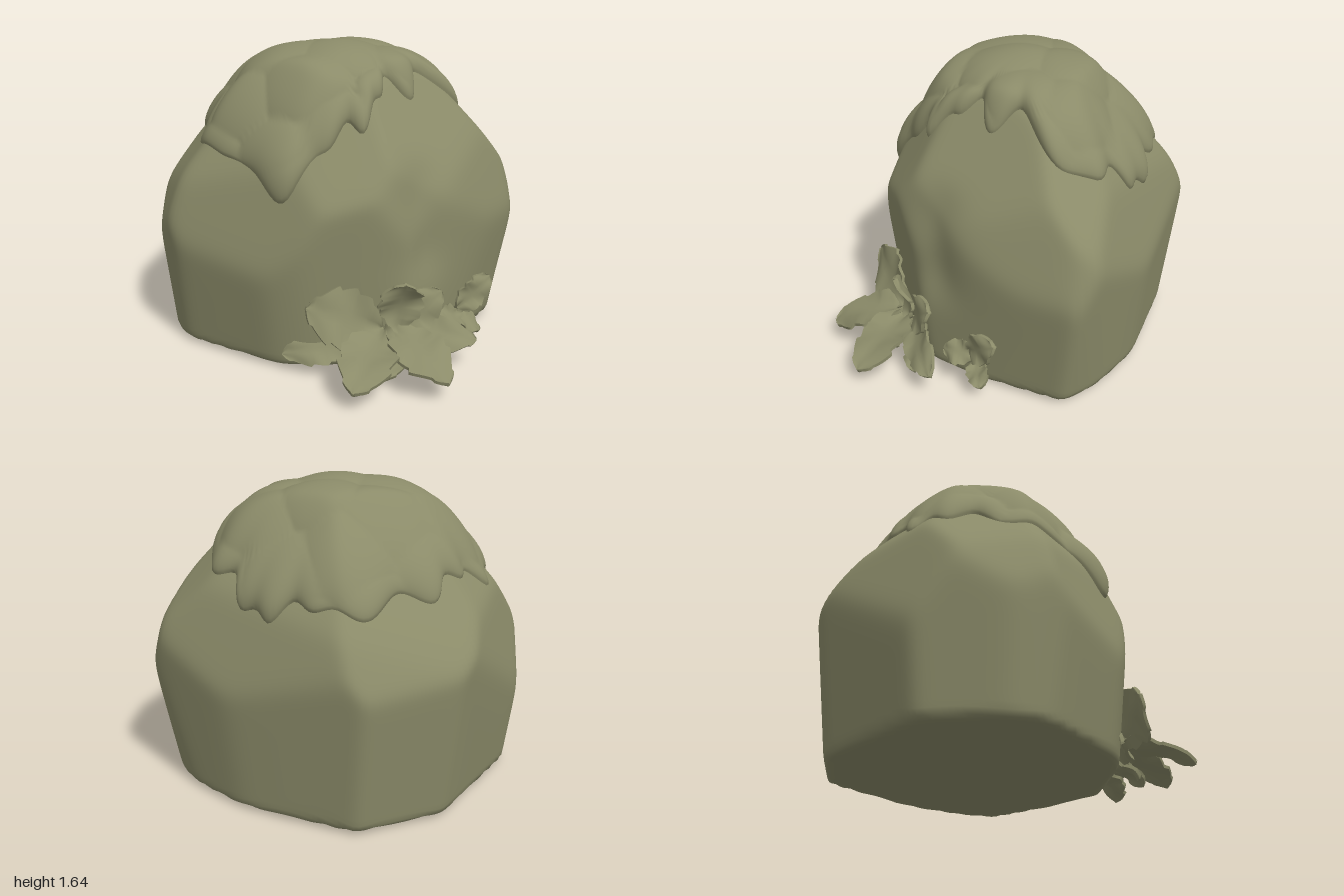
import * as THREE from 'three';
import { mergeVertices } from 'three/addons/utils/BufferGeometryUtils.js';

const CENTRE = new THREE.Vector3(0, 0.75, -0.15);
const GROUND = 0.03;
const rad = THREE.MathUtils.degToRad;

// Unit vector from azimuth (0 = front, 90 = +x) and elevation
const heading = (az, el) => new THREE.Vector3(
  Math.sin(rad(az)) * Math.cos(rad(el)), Math.sin(rad(el)), Math.cos(rad(az)) * Math.cos(rad(el)));

// Rock facets: point on the facet, then azimuth and elevation of its normal
const LOWER_WALL = [
  [0.6, 0.5, 0.37, 35, -3], [0.9, 0.6, 0.12, 46, -8], [1, 0.62, 0.03, 100, -11],
  [0.8, 0.65, -0.39, 119, -6], [0.59, 0.65, -0.64, 137, -5], [0, 0.65, -0.99, 182, -7],
  [-0.63, 0.65, -0.73, 216, -7], [-0.97, 0.65, -0.25, 258, -6], [-0.97, 0.5, 0, 290, -6],
  [-0.6, 0.5, 0.43, 320, -8], [-0.37, 0.5, 0.57, 342, -7], [-0.05, 0.8, 0.62, 0, -5],
];
const UPPER_WALL = [
  [0.97, 0.8, 0.03, 80, 14], [0.7, 0.9, 0.25, 45, 16], [0.25, 0.95, 0.56, 20, 12],
  [-0.6, 0.6, 0.43, 324, 15], [-0.93, 0.85, -0.1, 275, 20], [-0.7, 0.85, -0.6, 228, 14],
  [0, 0.82, -0.98, 178, 26], [0.65, 0.8, -0.53, 130, 18],
];
const SHOULDERS = [
  [0.82, 1.08, -0.1, 95, 42], [0.4, 1.12, 0.36, 35, 35], [-0.05, 1.15, 0.48, 350, 32],
  [-0.5, 1.13, 0.27, 318, 36], [-0.77, 1.08, -0.15, 268, 40], [-0.5, 1.2, -0.55, 222, 42],
  [0.1, 1.12, -0.77, 185, 41], [0.5, 1.14, -0.5, 135, 39],
];
const planes = [...LOWER_WALL, ...UPPER_WALL, ...SHOULDERS].map(([x, y, z, az, el]) => {
  const n = heading(az, el);
  return { n, h: n.dot(new THREE.Vector3(x, y, z).sub(CENTRE)) };
});
// Crown, then the flat top and bottom
for (const [az, h] of [[0, 0.82], [90, 0.84], [180, 0.85], [270, 0.83]]) {
  planes.push({ n: heading(az, 62), h }, { n: heading(az + 45, 78), h: 0.815 });
}
planes.push({ n: heading(0, 90), h: 0.84 }, { n: heading(0, -90), h: 0.75 - GROUND });

// Distance from the centre to the rock surface, with softened facet edges
function rockRadius(d) {
  const p = 60;
  let sum = 0;
  for (const { n, h } of planes) sum += Math.pow(Math.max(0, n.dot(d)) / h, p);
  // shallow hollow in the front, towards +x
  const az = (Math.atan2(d.x, d.z) - rad(27)) / rad(12);
  const el = (Math.asin(THREE.MathUtils.clamp(d.y, -1, 1)) - rad(2)) / rad(22);
  return 1.012 * Math.pow(sum, -1 / p) - 0.05 * Math.exp(-(az ** 2) - el ** 4);
}

// Sphere whose vertices are moved by a rule, smooth and without a seam
function shapedSphere(wide, high, sweep, rule) {
  let g = new THREE.SphereGeometry(1, wide, high, 0, Math.PI * 2, 0, sweep);
  g.deleteAttribute('uv');
  g.deleteAttribute('normal');
  g = mergeVertices(g, 1e-5);
  const pos = g.attributes.position;
  const v = new THREE.Vector3();
  for (let i = 0; i < pos.count; i++) {
    v.fromBufferAttribute(pos, i).normalize();
    rule(v);
    pos.setXYZ(i, v.x, v.y, v.z);
  }
  g.computeVertexNormals();
  return g;
}

function rockGeometry() {
  return shapedSphere(180, 120, Math.PI, (v) => {
    v.multiplyScalar(rockRadius(v)).add(CENTRE);
    v.y = Math.max(v.y, GROUND);
  });
}

// Moss reach down from the top, in degrees, every 30 degrees of azimuth
const MOSS_EDGE = [46, 33, 36, 56, 64, 62, 61, 56, 62, 62, 66, 74];
function mossEdge(az) {
  const t = ((az / 30) % 12 + 12) % 12;
  const i = Math.floor(t);
  const f = THREE.MathUtils.smoothstep(t - i, 0, 1);
  const reach = THREE.MathUtils.lerp(MOSS_EDGE[i], MOSS_EDGE[(i + 1) % 12], f);
  const a = rad(az);
  return rad(reach + 3 * Math.sin(a * 9 + 1) + 2.5 * Math.sin(a * 17 + 2 * Math.sin(a * 3)));
}

function mossGeometry() {
  // Lump centres spread over the cap
  const lumps = [];
  for (let i = 0; i < 30; i++) {
    const el = Math.asin(1 - (i + 0.5) / 36) * 180 / Math.PI;
    lumps.push({ c: heading(i * 137.5 + 8 * Math.sin(i * 5), el), r: 0.36 + 0.07 * Math.sin(i * 3.7) });
  }
  return shapedSphere(180, 60, Math.PI / 2, (v) => {
    const t = Math.acos(THREE.MathUtils.clamp(v.y, -1, 1)) / (Math.PI / 2);
    const az = Math.atan2(v.x, v.z);
    const phi = t * mossEdge(az * 180 / Math.PI);
    v.set(Math.sin(az) * Math.sin(phi), Math.cos(phi), Math.cos(az) * Math.sin(phi));
    let lump = 0;
    for (const { c, r } of lumps) {
      lump = Math.max(lump, Math.sqrt(Math.max(0, 1 - (v.distanceTo(c) / r) ** 2)));
    }
    const taper = Math.sqrt(Math.max(0, 1 - t ** 6));
    const thick = (0.005 + 0.075 * lump) * taper - 0.02 * (1 - taper);
    v.multiplyScalar(rockRadius(v) + thick).add(CENTRE);
  });
}

// Thin jagged leaf from base to tip, folded along its midrib and curled back
function leafGeometry(base, tip, facing, width, curl) {
  const g = new THREE.BoxGeometry(2, 0.018, 1, 8, 1, 24);
  const from = new THREE.Vector3(...base);
  const along = new THREE.Vector3(...tip).sub(from);
  const side = new THREE.Vector3(...facing).cross(along).normalize();
  const up = along.clone().cross(side).normalize();
  const pos = g.attributes.position;
  const v = new THREE.Vector3();
  for (let i = 0; i < pos.count; i++) {
    const s = pos.getX(i);
    const u = pos.getZ(i) + 0.5;
    const tooth = 1 - 0.2 * ((u * 4.5) % 1);
    const arch = Math.max(0, Math.sin(Math.PI * u));
    const half = width * (0.06 + 1.04 * Math.pow(arch, 0.65)) * tooth;
    const lift = pos.getY(i) + 0.25 * width * Math.abs(s) * (1 - u)
      + curl * (4 * u * (1 - u)) + 0.012 * Math.sin(u * 11 + s * 2) * Math.abs(s);
    v.copy(from).addScaledVector(along, u).addScaledVector(side, s * half).addScaledVector(up, lift);
    pos.setXYZ(i, v.x, Math.max(v.y, 0), v.z);
  }
  g.computeVertexNormals();
  return g;
}

// Leaves: base, tip, facing direction, half width, curl
const FRONT_PLANT = [
  [[0.1, 0.26, 0.62], [-0.29, 0.42, 0.67], [0.1, 0.4, 1], 0.15, 0.02],
  [[0.12, 0.24, 0.62], [-0.11, 0.11, 1.0], [-0.1, 1, 0.4], 0.14, 0.03],
  [[0.15, 0.24, 0.62], [0.37, 0.11, 0.98], [0.1, 1, 0.4], 0.14, 0.03],
  [[0.18, 0.24, 0.6], [0.43, 0.43, 0.59], [0.1, 0.3, 1], 0.1, 0.02],
  [[0.2, 0.22, 0.6], [0.61, 0.16, 0.65], [0, 0.7, 0.8], 0.09, 0.03],
  [[0.02, 0.17, 0.58], [-0.4, 0.11, 0.54], [-0.2, 0.5, 0.9], 0.09, 0.02],
  [[0.12, 0.14, 0.56], [0.1, 0.04, 0.77], [0, 1, 0.5], 0.12, 0.02],
  [[0.17, 0.12, 0.56], [0.38, 0.02, 0.68], [0.1, 1, 0.6], 0.08, 0.02],
  [[0.08, 0.12, 0.56], [-0.09, 0.03, 0.7], [-0.1, 1, 0.6], 0.07, 0.02],
  [[0.19, 0.26, 0.63], [0.21, 0.53, 0.71], [0, -0.1, 1], 0.115, -0.03],
];
const SIDE_PLANT = [
  [[0.56, 0.24, 0.41], [0.77, 0.39, 0.35], [0.5, 0.3, 0.9], 0.08, 0.02],
  [[0.57, 0.17, 0.38], [0.71, 0.09, 0.41], [0.6, 0.5, 0.6], 0.06, 0.01],
  [[0.58, 0.2, 0.38], [0.44, 0.18, 0.52], [0.3, 0.6, 0.7], 0.07, 0.02],
];

export function createModel() {
  const model = new THREE.Group();
  const stone = new THREE.MeshStandardMaterial({ color: 0x8b8b69 });
  stone.name = 'olive stone';

  const add = (parent, name, geometry) => {
    const mesh = new THREE.Mesh(geometry, stone);
    mesh.name = name;
    parent.add(mesh);
  };

  add(model, 'boulder', rockGeometry());
  add(model, 'mossCap', mossGeometry());

  for (const [name, leaves] of [['frontPlant', FRONT_PLANT], ['sidePlant', SIDE_PLANT]]) {
    const plant = new THREE.Group();
    plant.name = name;
    for (const leaf of leaves) add(plant, 'leaf', leafGeometry(...leaf));
    model.add(plant);
  }
  return model;
}
